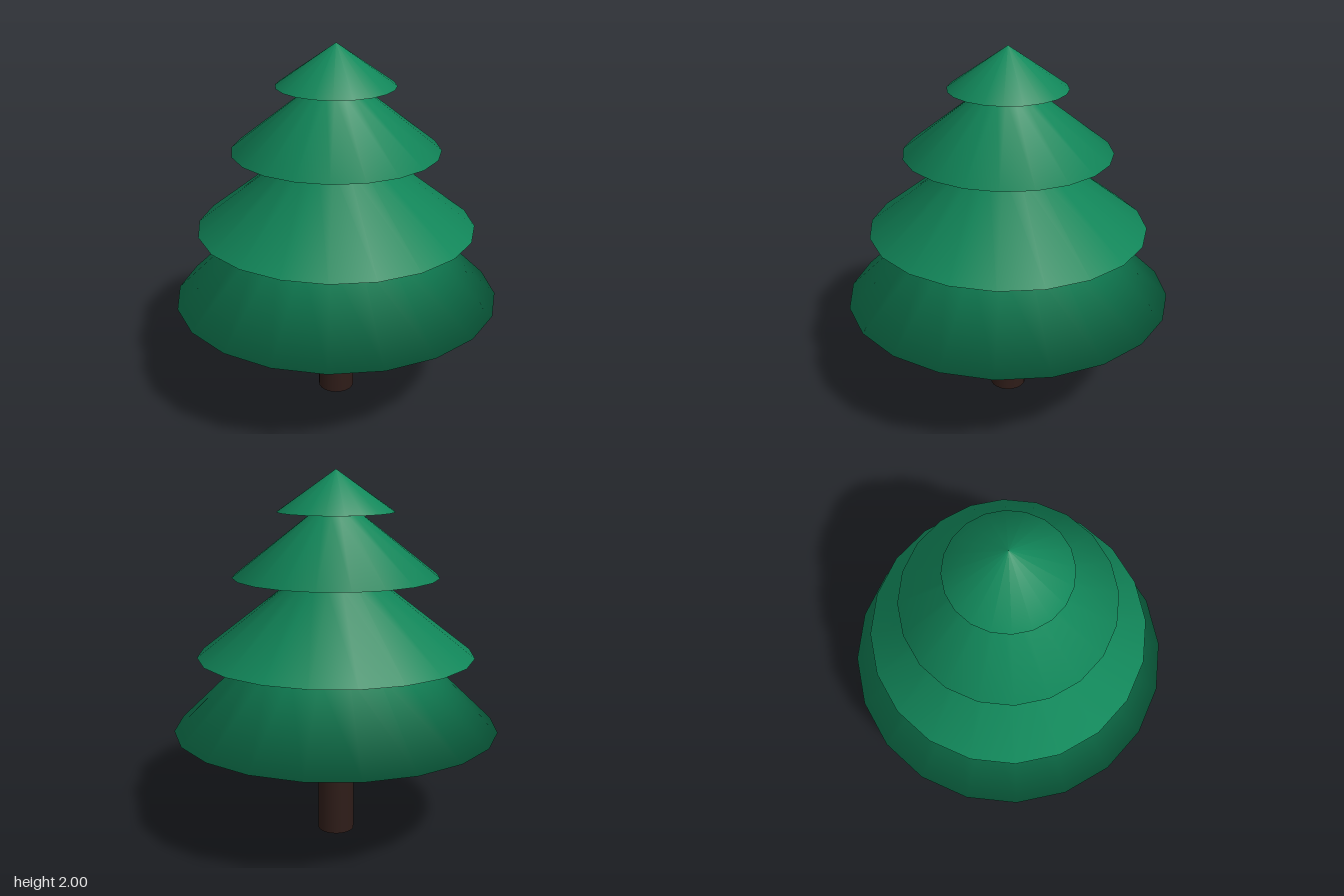
import * as THREE from 'three';

const SIDES = 20;

export function createModel() {
  const tree = new THREE.Group();
  tree.name = 'firTree';

  // Foliage: one stepped, smooth-shaded profile; each tier is a rim and the neck above it
  const tiers = [
    { rim: [0.885, 0.61], neck: [0.48, 1.0] },
    { rim: [0.75, 1.015], neck: [0.25, 1.405] },
    { rim: [0.555, 1.44], neck: [0.14, 1.765] },
    { rim: [0.315, 1.78], neck: [0, 2] },
  ];
  const profile = [new THREE.Vector2(0, 0.595)];
  for (const { rim, neck } of tiers) {
    profile.push(new THREE.Vector2(...rim), new THREE.Vector2(...neck));
  }
  const foliage = new THREE.Mesh(
    new THREE.LatheGeometry(profile, SIDES),
    new THREE.MeshStandardMaterial({ color: 0x128a5c })
  );
  foliage.name = 'foliage';

  // Trunk: plain round post reaching the underside of the foliage
  const trunk = new THREE.Mesh(
    new THREE.CylinderGeometry(0.1, 0.1, 0.6, SIDES),
    new THREE.MeshStandardMaterial({ color: 0x2e1c18 })
  );
  trunk.name = 'trunk';
  trunk.position.y = 0.3;

  tree.add(foliage, trunk);
  return tree;
}
